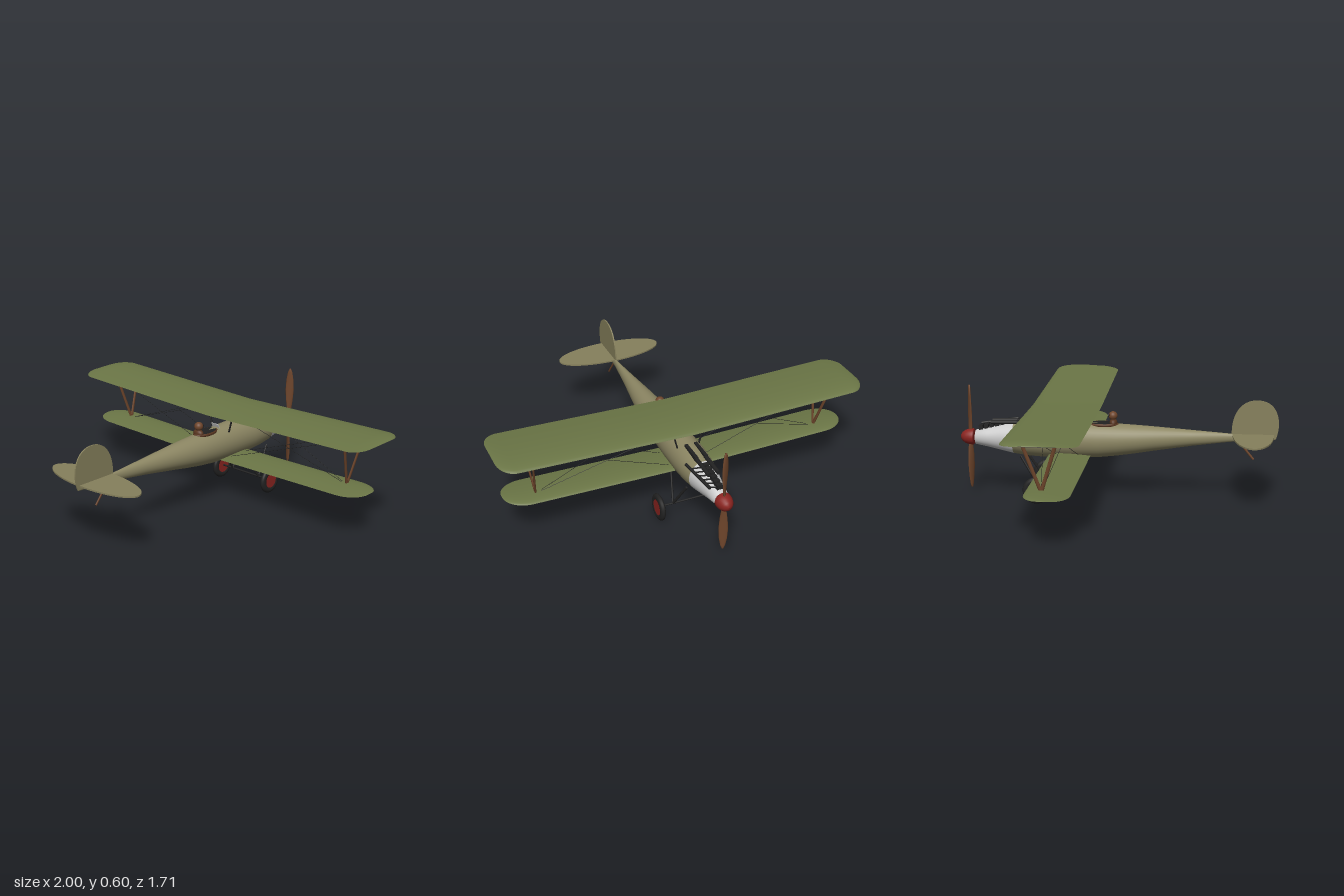
import * as THREE from 'three';

const V = (x, y, z) => new THREE.Vector3(x, y, z);
const mat = (color, side = THREE.FrontSide) => new THREE.MeshStandardMaterial({ color, side });
const olive = mat(0x6b7646, THREE.DoubleSide);
const underside = mat(0xa09c88, THREE.DoubleSide);
const khaki = mat(0x8c8663);
const tailKhaki = mat(0x86805c);
const metal = mat(0xcccccc);
const red = mat(0x8a2420);
const wood = mat(0x6e452b);
const black = mat(0x222222);
const leather = mat(0x5a3620);

// Surface through a list of cross-sections
function loft(rings, closed) {
  const n = rings[0].length, pos = [], idx = [];
  rings.forEach(r => r.forEach(p => pos.push(p.x, p.y, p.z)));
  for (let i = 0; i < rings.length - 1; i++) {
    for (let j = 0; j < (closed ? n : n - 1); j++) {
      const a = i * n + j, b = i * n + (j + 1) % n;
      idx.push(a, a + n, b, b, a + n, b + n);
    }
  }
  const g = new THREE.BufferGeometry();
  g.setAttribute('position', new THREE.Float32BufferAttribute(pos, 3));
  g.setIndex(idx);
  g.computeVertexNormals();
  return g;
}

function add(parent, name, geometry, material, x = 0, y = 0, z = 0) {
  const m = new THREE.Mesh(geometry, material);
  m.name = name;
  m.position.set(x, y, z);
  parent.add(m);
  return m;
}

// Straight rod between two points; w and d are its half widths in x and z
function rod(parent, name, a, b, material, w, d = w, sides = 10) {
  const g = new THREE.CylinderGeometry(1, 1, a.distanceTo(b), sides).scale(w, 1, d);
  const m = add(parent, name, g, material);
  m.position.copy(a).add(b).multiplyScalar(0.5);
  m.quaternion.setFromUnitVectors(V(0, 1, 0), b.clone().sub(a).normalize());
  return m;
}

// Elliptical hull from stations [z, top, bottom, half width]
function hull(stations) {
  return loft(stations.map(([z, top, bottom, w]) => Array.from({ length: 32 }, (_, j) => {
    const a = j / 32 * Math.PI * 2;
    return V(w * Math.cos(a), (top + bottom) / 2 + (top - bottom) / 2 * Math.sin(a), z);
  })), true);
}

// Wing with dihedral, arched section and rounded tips
function wing(parent, name, o) {
  const half = [0, 0.25, 0.5, 0.75].map(t => [t * (o.span - o.tip), 0]);
  for (let i = 0; i <= 10; i++) {
    const u = Math.sin(i / 10 * Math.PI / 2);
    half.push([o.span - o.tip + o.tip * u, u]);
  }
  const stations = [...half.slice(1).reverse().map(([x, u]) => [-x, u]), ...half];
  const section = (upper) => stations.map(([x, u]) => {
    const round = Math.sqrt(Math.max(0, 1 - u * u));
    const chord = o.chord * (o.blunt + (1 - o.blunt) * round);
    const y = o.y + o.rise * Math.abs(x) / o.span + (1 - round) * o.thick * 0.4;
    return Array.from({ length: 17 }, (_, j) => {
      const s = (1 - Math.cos(j / 16 * Math.PI)) / 2;
      const k = upper ? 1 - s : s;
      const h = upper ? 2.6 * Math.sqrt(k) * (1 - k) : -0.5 * k * (1 - k);
      return V(x, y + o.thick * h * round, o.z + (k - 0.5) * chord);
    });
  });
  add(parent, name + 'Top', loft(section(true), false), olive);
  add(parent, name + 'Underside', loft(section(false), false), underside);
}

export function createModel() {
  const plane = new THREE.Group();
  plane.name = 'biplane';

  // Fuselage and metal nose
  add(plane, 'fuselage', hull([
    [0.845, 0.348, 0.348, 0], [0.84, 0.36, 0.336, 0.003], [0.6, 0.366, 0.32, 0.011],
    [0.4, 0.38, 0.294, 0.034], [0.2, 0.394, 0.263, 0.06], [0.1, 0.4, 0.246, 0.071],
    [0, 0.405, 0.231, 0.079], [-0.1, 0.41, 0.22, 0.084], [-0.25, 0.415, 0.214, 0.088],
    [-0.4, 0.415, 0.215, 0.089], [-0.48, 0.411, 0.22, 0.086], [-0.56, 0.402, 0.231, 0.077]]), khaki);
  add(plane, 'noseCowling', hull([
    [-0.56, 0.402, 0.231, 0.077], [-0.63, 0.387, 0.246, 0.063], [-0.7, 0.37, 0.262, 0.05],
    [-0.77, 0.354, 0.276, 0.04], [-0.771, 0.315, 0.315, 0]]), metal);

  // Spinner and two-bladed propeller
  const prop = new THREE.Group();
  prop.name = 'propeller';
  prop.position.set(0, 0.316, -0.8);
  plane.add(prop);
  const dome = [[0, -0.022], [0.04, -0.022], [0.044, -0.016], [0.043, 0.005], [0.036, 0.028], [0.024, 0.044], [0.011, 0.052], [0, 0.054]];
  const spinner = new THREE.LatheGeometry(dome.map(p => new THREE.Vector2(...p)), 28);
  add(prop, 'spinner', spinner.rotateX(-Math.PI / 2), red);
  const blade = loft([[0, 0.012, 1.1], [0.05, 0.014, 0.9], [0.1, 0.02, 0.7], [0.16, 0.024, 0.55],
    [0.22, 0.021, 0.45], [0.265, 0.013, 0.4], [0.284, 0.005, 0.35], [0.287, 0, 0.35]].map(([y, w, twist]) =>
    Array.from({ length: 14 }, (_, j) => {
      const a = j / 14 * Math.PI * 2;
      return V(w * Math.cos(a), 0, Math.min(w, 0.006) * Math.sin(a)).applyAxisAngle(V(0, 1, 0), twist).setY(y);
    })), true);
  for (const turn of [0, Math.PI]) add(prop, 'propellerBlade', blade, wood).rotation.z = turn;

  // Wings
  wing(plane, 'upperWing', { span: 1, tip: 0.085, blunt: 0.42, chord: 0.372, z: -0.27, y: 0.496, rise: 0.026, thick: 0.021 });
  wing(plane, 'lowerWing', { span: 0.955, tip: 0.13, blunt: 0.1, chord: 0.226, z: -0.252, y: 0.236, rise: 0.016, thick: 0.015 });
  add(plane, 'wingRadiator', new THREE.BoxGeometry(0.13, 0.012, 0.12), black, 0.065, 0.493, -0.27);

  for (const s of [-1, 1]) {
    // V struts, centre struts and bracing wires
    const foot = V(s * 0.79, 0.252, -0.285);
    for (const z of [-0.2, -0.38]) {
      rod(plane, 'wingStrut', foot, V(s * 0.822, 0.525, z), wood, 0.005, 0.009);
      rod(plane, 'centreStrut', V(s * 0.06, 0.385, z), V(s * 0.09, 0.502, z), black, 0.004, 0.006);
      rod(plane, 'bracingWire', V(s * 0.09, 0.5, z), foot, black, 0.0012, 0.0012, 5);
    }
    for (const z of [-0.2, -0.32])
      rod(plane, 'bracingWire', V(s * 0.08, 0.25, z), V(s * 0.822, 0.52, z), black, 0.0012, 0.0012, 5);

    // Undercarriage legs and wheel
    for (const z of [-0.32, -0.515])
      rod(plane, 'undercarriageLeg', V(s * 0.068, 0.232, z), V(s * 0.097, 0.074, -0.415), black, 0.005, 0.007);
    const wheel = new THREE.Group();
    wheel.name = 'wheel';
    wheel.position.set(s * 0.177, 0.073, -0.415);
    plane.add(wheel);
    const tyre = new THREE.TorusGeometry(0.053, 0.02, 12, 36).rotateY(Math.PI / 2).scale(0.7, 1, 1);
    add(wheel, 'tyre', tyre, black);
    add(wheel, 'wheelDisc', new THREE.CylinderGeometry(0.042, 0.042, 0.023, 32).rotateZ(Math.PI / 2), red);

    // Machine guns
    rod(plane, 'gunBarrel', V(s * 0.026, 0.404, -0.68), V(s * 0.026, 0.407, -0.53), black, 0.011);
    add(plane, 'gunBody', new THREE.BoxGeometry(0.017, 0.028, 0.13), black, s * 0.026, 0.405, -0.475);
  }
  rod(plane, 'axle', V(-0.18, 0.074, -0.415), V(0.18, 0.074, -0.415), black, 0.005);

  // Engine cylinder heads and exhaust pipe
  for (let i = 0; i < 6; i++)
    add(plane, 'cylinderHead', new THREE.BoxGeometry(0.03, 0.036, 0.022), black, 0, 0.365 + i * 0.005, -0.74 + i * 0.03);
  rod(plane, 'exhaustPipe', V(0.054, 0.38, -0.75), V(0.09, 0.403, -0.55), black, 0.008);
  for (let i = 0; i < 6; i++)
    rod(plane, 'exhaustStub', V(0.01, 0.365 + i * 0.005, -0.74 + i * 0.03),
      V(0.056 + i * 0.005, 0.381 + i * 0.0035, -0.74 + i * 0.03), black, 0.004);

  // Cockpit with padded rim, pilot and windscreen
  const rim = new THREE.TorusGeometry(1, 0.12, 8, 32).rotateX(Math.PI / 2).scale(0.042, 0.07, 0.075);
  add(plane, 'cockpitRim', rim, leather, 0, 0.402, -0.075);
  add(plane, 'cockpitFloor', new THREE.CylinderGeometry(0.042, 0.042, 0.016, 28).scale(1, 1, 1.75), black, 0, 0.402, -0.075);
  add(plane, 'pilotShoulders', new THREE.SphereGeometry(0.03, 20, 12).scale(1.1, 0.8, 0.7), leather, 0, 0.41, -0.02);
  add(plane, 'pilotHead', new THREE.SphereGeometry(0.024, 24, 16), wood, 0, 0.449, -0.022);
  for (const s of [-1, 1])
    add(plane, 'goggle', new THREE.CylinderGeometry(0.007, 0.007, 0.006, 14).rotateX(Math.PI / 2), black, s * 0.009, 0.452, -0.044);
  add(plane, 'windscreen', new THREE.BoxGeometry(0.05, 0.03, 0.003), metal, 0, 0.418, -0.158).rotation.x = 0.4;

  // Tailplane, fin and tail skid
  add(plane, 'tailplane', new THREE.CylinderGeometry(1, 1, 0.008, 56).scale(0.302, 1, 0.109), tailKhaki, 0, 0.36, 0.725);
  const fin = new THREE.Shape();
  fin.moveTo(0.612, 0.355);
  fin.bezierCurveTo(0.605, 0.46, 0.65, 0.548, 0.745, 0.548);
  fin.bezierCurveTo(0.85, 0.548, 0.88, 0.44, 0.845, 0.34);
  const finGeometry = new THREE.ExtrudeGeometry(fin, { depth: 0.007, bevelEnabled: false, curveSegments: 20 });
  add(plane, 'tailFin', finGeometry.rotateY(-Math.PI / 2), tailKhaki, 0.0035);
  rod(plane, 'tailSkid', V(0, 0.33, 0.645), V(0, 0.226, 0.73), wood, 0.004, 0.006);

  return plane;
}
